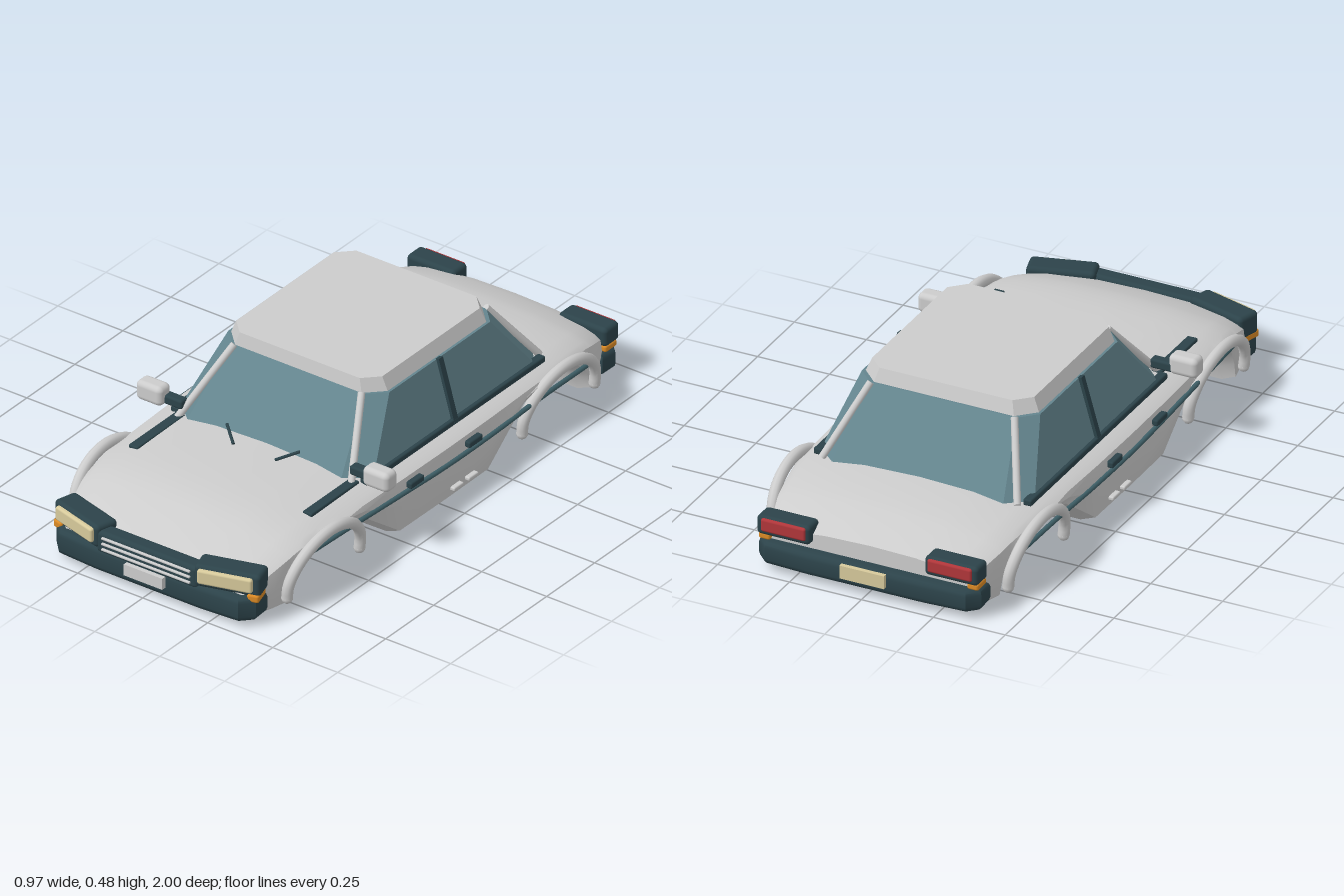
import * as THREE from 'three';
import { toCreasedNormals } from 'three/addons/utils/BufferGeometryUtils.js';
import { RoundedBoxGeometry } from 'three/addons/geometries/RoundedBoxGeometry.js';

const V = (x, y, z) => new THREE.Vector3(x, y, z);
function mat(name, color) {
  const m = new THREE.MeshStandardMaterial({ color });
  m.name = name;
  return m;
}

// Skin a series of closed rings (counterclockwise seen from the first end) and cap both ends
function loft(rings, crease) {
  const pos = [];
  const tri = (...p) => p.forEach((v) => pos.push(v.x, v.y, v.z));
  const n = rings[0].length;
  for (let i = 0; i + 1 < rings.length; i++) {
    for (let j = 0; j < n; j++) {
      const k = (j + 1) % n;
      const a = rings[i][j], b = rings[i][k], c = rings[i + 1][k], d = rings[i + 1][j];
      tri(a, d, c);
      tri(a, c, b);
    }
  }
  const first = rings[0], last = rings[rings.length - 1];
  for (let j = 1; j + 1 < n; j++) {
    tri(first[0], first[j], first[j + 1]);
    tri(last[0], last[j + 1], last[j]);
  }
  const g = new THREE.BufferGeometry();
  g.setAttribute('position', new THREE.Float32BufferAttribute(pos, 3));
  return toCreasedNormals(g, crease);
}

// Half-width w, underside b and crown t give one body cross-section
function bodyRing([z, w, b, t]) {
  const s = t - 0.035;
  const half = [
    [0, b], [0.85 * w, b], [0.97 * w, b + 0.02], [w, (b + 0.02 + s) / 2],
    [0.985 * w, s - 0.008], [0.93 * w, s + 0.004], [0.8 * w, t - 0.018], [0.45 * w, t - 0.004], [0, t],
  ];
  const other = half.slice(1, -1).reverse().map(([x, y]) => [-x, y]);
  return [...half, ...other].map(([x, y]) => V(x, y, z));
}

// Rectangle with cut corners, lying flat at height y
function octagon(y, hx, zf, zb, c) {
  return [[hx, zb + c], [hx, zf - c], [hx - c, zf], [c - hx, zf], [-hx, zf - c], [-hx, zb + c], [c - hx, zb], [hx - c, zb]]
    .map(([x, z]) => V(x, y, z));
}

// Plan outline of half a bumper, mirrored and raised from y0 to y1 with rounded edges
function planBar(half, y0, y1, bevel) {
  const pts = [...half, ...half.slice().reverse().map(([x, z]) => [-x, z])];
  const shape = new THREE.Shape(pts.map(([x, z]) => new THREE.Vector2(x, -z)));
  const g = new THREE.ExtrudeGeometry(shape, {
    depth: y1 - y0 - 2 * bevel, bevelThickness: bevel, bevelSize: bevel, bevelOffset: -bevel, bevelSegments: 3,
  });
  g.rotateX(-Math.PI / 2).translate(0, y0 + bevel, 0);
  return toCreasedNormals(g, 0.7);
}

export function createModel() {
  const car = new THREE.Group();
  car.name = 'car';
  const paint = mat('body paint', 0xcccccc);
  const glass = mat('glass', 0x64858e);
  const trim = mat('dark trim', 0x2c434a);
  const lamp = mat('cream lamp', 0xd6c99b);
  const amber = mat('amber', 0xdb8a25);
  const red = mat('red lamp', 0xb0363a);
  const stripe = mat('teal stripe', 0x3f6068);

  function add(name, geo, material, x = 0, y = 0, z = 0) {
    const m = new THREE.Mesh(geo, material);
    m.name = name;
    m.position.set(x, y, z);
    car.add(m);
    return m;
  }
  const block = (w, h, d, r) => new RoundedBoxGeometry(w, h, d, 3, r);
  function rod(name, a, b, r, material) {
    const m = add(name, new THREE.CylinderGeometry(r, r, a.distanceTo(b), 12), material);
    m.position.copy(a).lerp(b, 0.5);
    m.quaternion.setFromUnitVectors(V(0, 1, 0), b.clone().sub(a).normalize());
    return m;
  }

  // Body shell with wheel tunnels: z, half-width, underside, crown
  const stations = [
    [0.945, 0.345, 0.02, 0.145], [0.9, 0.37, 0, 0.168], [0.84, 0.39, 0, 0.195], [0.775, 0.405, 0, 0.218],
    [0.765, 0.406, 0.05, 0.221], [0.74, 0.41, 0.1, 0.228], [0.69, 0.415, 0.145, 0.237], [0.62, 0.42, 0.172, 0.243],
    [0.52, 0.424, 0.165, 0.245], [0.42, 0.427, 0.14, 0.246], [0.23, 0.433, 0, 0.247], [0, 0.435, 0, 0.247],
    [-0.23, 0.433, 0, 0.247], [-0.42, 0.427, 0.14, 0.246], [-0.52, 0.424, 0.165, 0.245], [-0.62, 0.42, 0.172, 0.241],
    [-0.7, 0.412, 0.145, 0.234], [-0.77, 0.402, 0.09, 0.224], [-0.8, 0.397, 0.045, 0.217], [-0.81, 0.395, 0, 0.214],
    [-0.88, 0.375, 0, 0.193], [-0.94, 0.35, 0.02, 0.16],
  ];
  add('body', loft(stations.map(bodyRing), 0.6), paint);

  // Cabin
  add('cabinGlass', loft([octagon(0.2, 0.378, 0.395, -0.64, 0.075), octagon(0.435, 0.31, 0.19, -0.445, 0.055)], 0.1), glass);
  add('roof', loft([octagon(0.433, 0.302, 0.19, -0.44, 0.058), octagon(0.481, 0.281, 0.183, -0.425, 0.05)], 0.1), paint);

  // Front bumper, grille and number plate
  add('frontBumper', planBar([[0.38, 0.865], [0.384, 0.93], [0.345, 0.972], [0.2, 0.982]], 0.018, 0.105, 0.02), trim);
  add('grille', block(0.39, 0.078, 0.06, 0.015), trim, 0, 0.127, 0.952);
  for (const y of [0.108, 0.128, 0.148]) add('grilleSlat', block(0.34, 0.008, 0.014, 0.003), paint, 0, y, 0.982);
  add('frontPlate', new THREE.BoxGeometry(0.148, 0.04, 0.016), paint, 0, 0.075, 0.991);

  // Rear bumper and number plate
  add('rearBumper', planBar([[0.384, -0.875], [0.386, -0.94], [0.35, -0.976], [0.2, -0.984]], 0.025, 0.102, 0.02), trim);
  add('rearPlate', new THREE.BoxGeometry(0.155, 0.045, 0.016), lamp, 0, 0.078, -0.991);

  for (const s of [-1, 1]) {
    // Headlights, swept back at the outer end
    const housing = add('headlightHousing', block(0.22, 0.078, 0.085, 0.015), trim, s * 0.28, 0.142, 0.917);
    const lens = add('headlightLens', block(0.182, 0.05, 0.03, 0.008), lamp, s * 0.287, 0.146, 0.957);
    housing.rotation.y = lens.rotation.y = s * 0.28;
    add('frontIndicator', block(0.04, 0.028, 0.07, 0.008), amber, s * 0.367, 0.1, 0.905).rotation.y = s * 0.28;
    add('underLamp', block(0.06, 0.06, 0.06, 0.02), trim, s * 0.335, 0.13, 0.71);

    // Tail lights
    add('tailLightHousing', block(0.186, 0.066, 0.075, 0.015), trim, s * 0.292, 0.153, -0.928);
    add('tailLightLens', block(0.155, 0.045, 0.02, 0.008), red, s * 0.289, 0.158, -0.962);
    add('rearIndicator', block(0.04, 0.024, 0.06, 0.008), amber, s * 0.362, 0.112, -0.925);

    // Wheel arch lips, bulging outward at the crown
    for (const zc of [0.612, -0.612]) {
      const pts = [];
      for (let i = 0; i <= 12; i++) {
        const a = (-0.04 + 1.08 * i / 12) * Math.PI;
        const up = Math.sin(a);
        pts.push(V(s * (0.408 + 0.024 * Math.max(up, 0)), 0.068 + 0.142 * up, zc - 0.19 * Math.cos(a)));
      }
      add('wheelArch', new THREE.TubeGeometry(new THREE.CatmullRomCurve3(pts), 32, 0.019, 10), paint);
      for (const p of [pts[0], pts[12]]) add('wheelArchEnd', new THREE.SphereGeometry(0.019, 10, 8), paint, p.x, p.y, p.z);
    }

    // Window pillars and trim
    rod('frontPillar', V(s * 0.335, 0.225, 0.368), V(s * 0.245, 0.437, 0.192), 0.012, paint);
    rod('rearPillar', V(s * 0.34, 0.225, -0.605), V(s * 0.25, 0.437, -0.448), 0.012, paint);
    const post = add('doorPost', new THREE.BoxGeometry(0.018, 0.222, 0.022), trim, s * 0.342, 0.33, -0.12);
    post.rotation.z = s * 0.282;
    add('windowSill', block(0.03, 0.022, 0.93, 0.006), trim, s * 0.364, 0.23, -0.122);

    // Bonnet vents and wipers
    add('bonnetVent', block(0.036, 0.014, 0.25, 0.005), trim, s * 0.335, 0.227, 0.473);
    rod('wiper', V(s * 0.14, 0.274, 0.372), V(s * 0.08, 0.246, 0.42), 0.005, trim);

    // Mirrors
    add('mirror', block(0.1, 0.068, 0.06, 0.018), paint, s * 0.436, 0.28, 0.355);
    add('mirrorArm', block(0.08, 0.032, 0.036, 0.008), trim, s * 0.362, 0.268, 0.345);

    // Side stripe, handles and sill steps
    const line = [[0.41, 0.158, 0.72], [0.425, 0.164, 0.5], [0.434, 0.16, 0.25], [0.437, 0.152, 0],
      [0.434, 0.15, -0.25], [0.422, 0.146, -0.5], [0.402, 0.126, -0.77]].map(([x, y, z]) => V(s * x, y, z));
    add('sideStripe', new THREE.TubeGeometry(new THREE.CatmullRomCurve3(line), 40, 0.008, 8), stripe);
    for (const z of [0.172, -0.132]) add('doorHandle', block(0.025, 0.022, 0.07, 0.006), trim, s * 0.436, 0.177, z);
    for (const z of [-0.05, -0.127]) add('sillStep', block(0.022, 0.014, 0.05, 0.005), paint, s * 0.432, 0.05, z);
  }
  return car;
}
